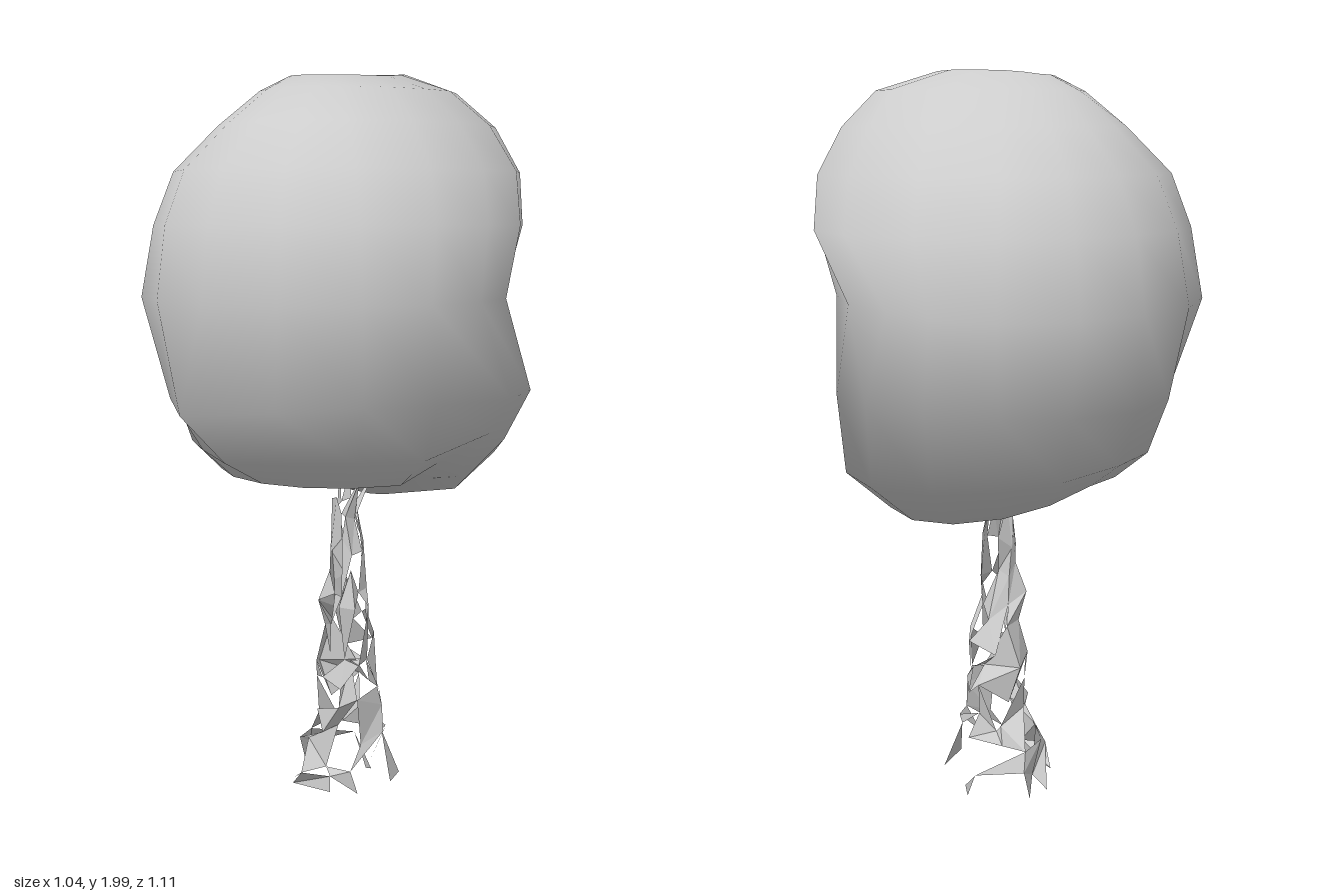
import * as THREE from 'three';

const grey = new THREE.MeshStandardMaterial({ color: 0xcccccc, side: THREE.DoubleSide });
grey.name = 'plain grey';

// Small seeded generator for the trunk shards
function seeded(seed) {
  return () => {
    seed = (seed * 16807) % 2147483647;
    return seed / 2147483647;
  };
}

function makeGeometry(positions, index) {
  const g = new THREE.BufferGeometry();
  g.setAttribute('position', new THREE.Float32BufferAttribute(positions, 3));
  if (index) g.setIndex(index);
  g.computeVertexNormals();
  return g;
}

// Canopy sections: y, x min, x max, z min, z max,
// corner swell (front -x, front +x, back -x, back +x), drop of the back +x side
const sections = [
  [1.99, -0.12, 0.19, -0.20, 0.06, 0, 0, 0, 0.05, -0.01],
  [1.95, -0.20, 0.33, -0.28, 0.18, 0, -0.04, 0, 0.20, 0],
  [1.86, -0.31, 0.44, -0.37, 0.28, 0.02, -0.04, -0.06, 0.07, 0],
  [1.74, -0.43, 0.51, -0.395, 0.40, 0.04, -0.04, -0.06, 0.06, 0],
  [1.60, -0.485, 0.52, -0.48, 0.475, 0.04, -0.05, -0.04, 0.05, 0],
  [1.41, -0.52, 0.47, -0.56, 0.53, 0, -0.03, -0.04, -0.13, 0],
  [1.17, -0.44, 0.475, -0.50, 0.55, 0.13, 0.03, 0.09, 0.02, 0],
  [1.02, -0.39, 0.45, -0.42, 0.45, 0.04, 0.02, 0.08, 0.06, 0.07],
  [0.94, -0.31, 0.34, -0.30, 0.34, 0, 0, 0.03, 0.02, 0.10],
  [0.94, -0.14, 0.17, -0.15, 0.18, 0, 0, 0, 0, 0.10],
];

// Local pushes: centre, reach, offset
const pushes = [
  [[-0.36, 1.17, 0.44], 0.26, [-0.08, -0.03, -0.04]], // front lobe, -x side
  [[0.42, 1.16, 0.32], 0.26, [0.06, 0, 0]],           // front lobe, +x side
  [[0.35, 0.97, 0.27], 0.22, [0, 0.06, 0]],           // raised front rim
].map(([at, reach, by]) => ({
  at: new THREE.Vector3(...at), reach, by: new THREE.Vector3(...by),
}));

// Smooth lumpy crown lofted through the sections
function canopy() {
  const n = 16, pos = [], idx = [];
  for (const [y, x0, x1, z0, z1, fl, fr, bl, br, drop] of sections) {
    for (let j = 0; j < n; j++) {
      const a = (j / n) * Math.PI * 2, c = Math.cos(a), s = Math.sin(a);
      const corner = s > 0 ? (c > 0 ? fr : fl) : (c > 0 ? br : bl);
      const k = 1 + corner * Math.sin(2 * a) ** 2;
      const toLobe = Math.max(0, Math.cos(a + Math.PI / 4));
      const p = new THREE.Vector3(c * k * (c > 0 ? x1 : -x0), y - drop * toLobe, s * k * (s > 0 ? z1 : -z0));
      const start = p.clone();
      for (const { at, reach, by } of pushes) {
        const f = Math.max(0, 1 - (start.distanceTo(at) / reach) ** 2);
        p.addScaledVector(by, f);
      }
      pos.push(p.x, p.y, p.z);
    }
  }
  const rows = sections.length;
  for (let i = 0; i < rows - 1; i++) {
    for (let j = 0; j < n; j++) {
      const a = i * n + j, b = i * n + ((j + 1) % n);
      idx.push(a, b, a + n, b, b + n, a + n);
    }
  }
  // Close the crown and the hollow underside
  const top = rows * n, base = (rows - 1) * n;
  pos.push(0.03, 2, -0.06, 0.03, 0.96, 0.03);
  for (let j = 0; j < n; j++) {
    const k = (j + 1) % n;
    idx.push(top, k, j, top + 1, base + j, base + k);
  }
  // Rounded shading: normals point away from the middle of the crown
  const g = makeGeometry(pos, idx);
  const middle = new THREE.Vector3(0, 1.42, 0), v = new THREE.Vector3();
  for (let i = 0; i < g.attributes.position.count; i++) {
    v.fromBufferAttribute(g.attributes.position, i).sub(middle).normalize();
    g.attributes.normal.setXYZ(i, v.x, v.y, v.z);
  }
  const mesh = new THREE.Mesh(g, grey);
  mesh.name = 'canopy';
  return mesh;
}

// Trunk levels: y, centre x, centre z, radius x, radius z
const levels = [
  [0.00, 0.03, -0.03, 0.14, 0.16], [0.06, 0.03, -0.02, 0.15, 0.16],
  [0.13, 0.03, 0.00, 0.12, 0.13], [0.21, 0.04, 0.01, 0.10, 0.11],
  [0.29, 0.04, 0.01, 0.10, 0.10], [0.37, 0.04, 0.02, 0.09, 0.10],
  [0.45, 0.04, 0.03, 0.08, 0.09], [0.54, 0.03, 0.05, 0.07, 0.09],
  [0.63, 0.03, 0.06, 0.06, 0.06], [0.74, 0.03, 0.04, 0.06, 0.05],
  [0.84, 0.02, 0.04, 0.03, 0.04], [0.96, 0.04, 0.04, 0.06, 0.04],
];

// Broken bark: flat shards picked from a jittered net around the trunk
function trunk() {
  const rand = seeded(4711), n = 9, pos = [];
  const jitter = (amount) => (rand() - 0.5) * amount;
  const net = levels.map(([y, cx, cz, rx, rz]) =>
    Array.from({ length: n }, (_, j) => {
      const a = ((j + jitter(0.9)) / n) * Math.PI * 2, k = 0.92 + jitter(0.5);
      return [cx + Math.cos(a) * rx * k, Math.max(0.01, y + jitter(0.09)), cz + Math.sin(a) * rz * k];
    }));
  for (let i = 0; i < levels.length - 1; i++) {
    for (let j = 0; j < n; j++) {
      const k = (j + 1) % n;
      const a = net[i][j], b = net[i][k], c = net[i + 1][j], d = net[i + 1][k];
      if (rand() < 0.5) pos.push(...a, ...c, ...b);
      if (rand() < 0.45) pos.push(...b, ...c, ...d);
    }
  }
  const mesh = new THREE.Mesh(makeGeometry(pos), grey);
  mesh.name = 'trunk';
  return mesh;
}

export function createModel() {
  const tree = new THREE.Group();
  tree.name = 'tree';
  tree.add(canopy(), trunk());
  return tree;
}
